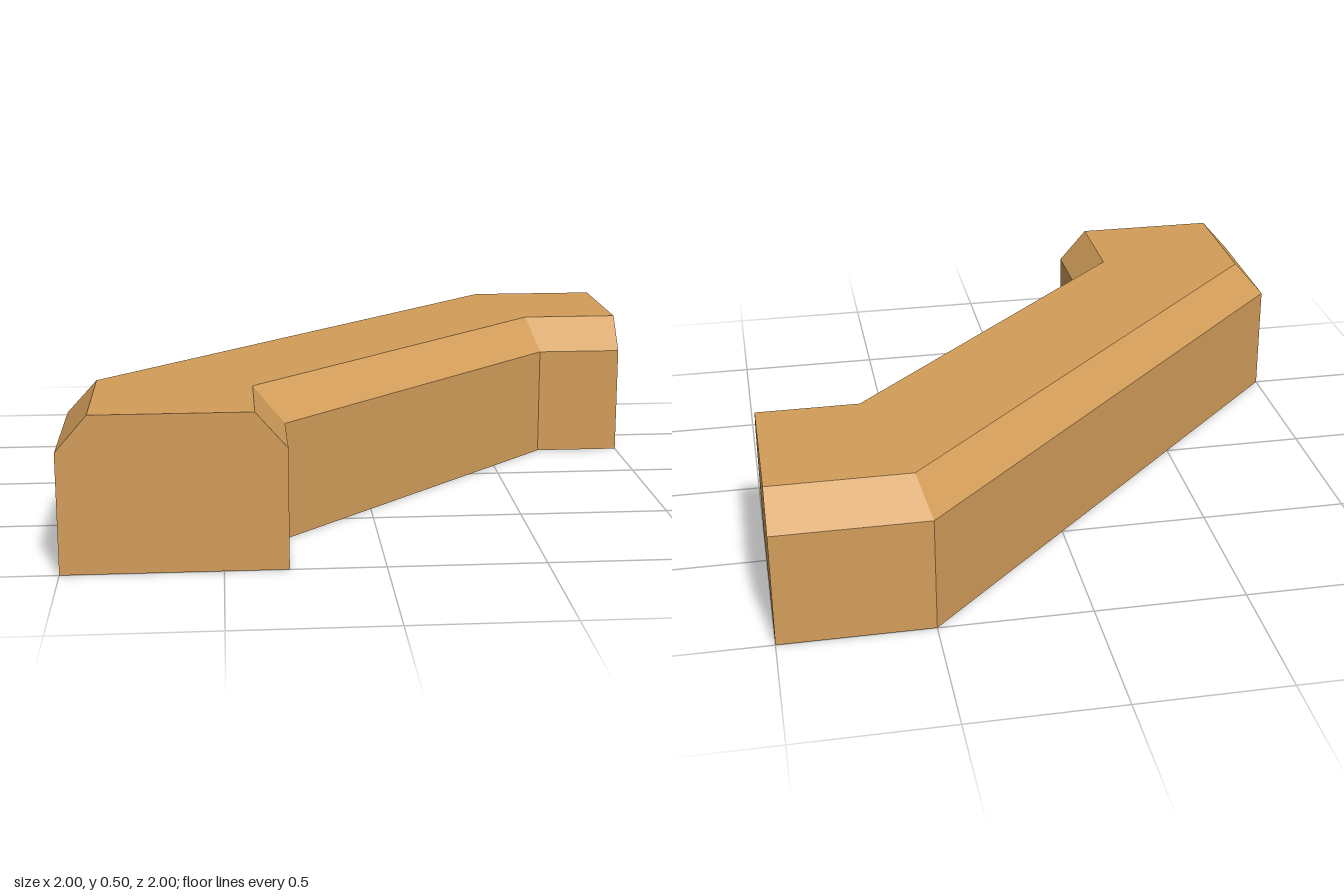
import * as THREE from 'three';

// Plan paths [x, z] of each long edge, from the front end to the right-hand end
const OUTER = [[-1, 1], [-1, 0.5], [0.5, -1], [1, -1]];
const OUTER_TOP = [[-0.9, 1], [-0.9, 0.541], [0.541, -0.9], [1, -0.9]];
const INNER_TOP = [[-0.4, 1], [-0.4, 0.659], [0.659, -0.4], [1, -0.4]];
const INNER = [[-0.3, 1], [-0.3, 0.7], [0.7, -0.3], [1, -0.3]];
const SHOULDER = 0.385, TOP = 0.5;

// Long edges in order around the cross-section
const EDGES = [
  [OUTER, 0], [OUTER, SHOULDER], [OUTER_TOP, TOP],
  [INNER_TOP, TOP], [INNER, SHOULDER], [INNER, 0],
];

function beamGeometry() {
  const rings = OUTER.map((_, i) => EDGES.map(([path, y]) => [path[i][0], y, path[i][1]]));
  const positions = [];
  const triangle = (a, b, c) => positions.push(...a, ...b, ...c);

  // Walls, bevels, top and underside between neighbouring sections
  for (let i = 0; i < rings.length - 1; i++) {
    const r = rings[i], s = rings[i + 1];
    for (let j = 0; j < r.length; j++) {
      const k = (j + 1) % r.length;
      triangle(r[j], r[k], s[j]);
      triangle(r[k], s[k], s[j]);
    }
  }

  // End caps
  const first = rings[0], last = rings[rings.length - 1];
  for (let j = 1; j < first.length - 1; j++) {
    triangle(first[0], first[j + 1], first[j]);
    triangle(last[0], last[j], last[j + 1]);
  }

  const geometry = new THREE.BufferGeometry();
  geometry.setAttribute('position', new THREE.Float32BufferAttribute(positions, 3));
  geometry.computeVertexNormals();
  return geometry;
}

export function createModel() {
  const wood = new THREE.MeshStandardMaterial({ color: 0xd39e5a });
  wood.name = 'wood';

  // Bevelled beam with two 45 degree bends
  const beam = new THREE.Mesh(beamGeometry(), wood);
  beam.name = 'bentBeam';

  const group = new THREE.Group();
  group.name = 'diagonalBorder';
  group.add(beam);
  return group;
}
